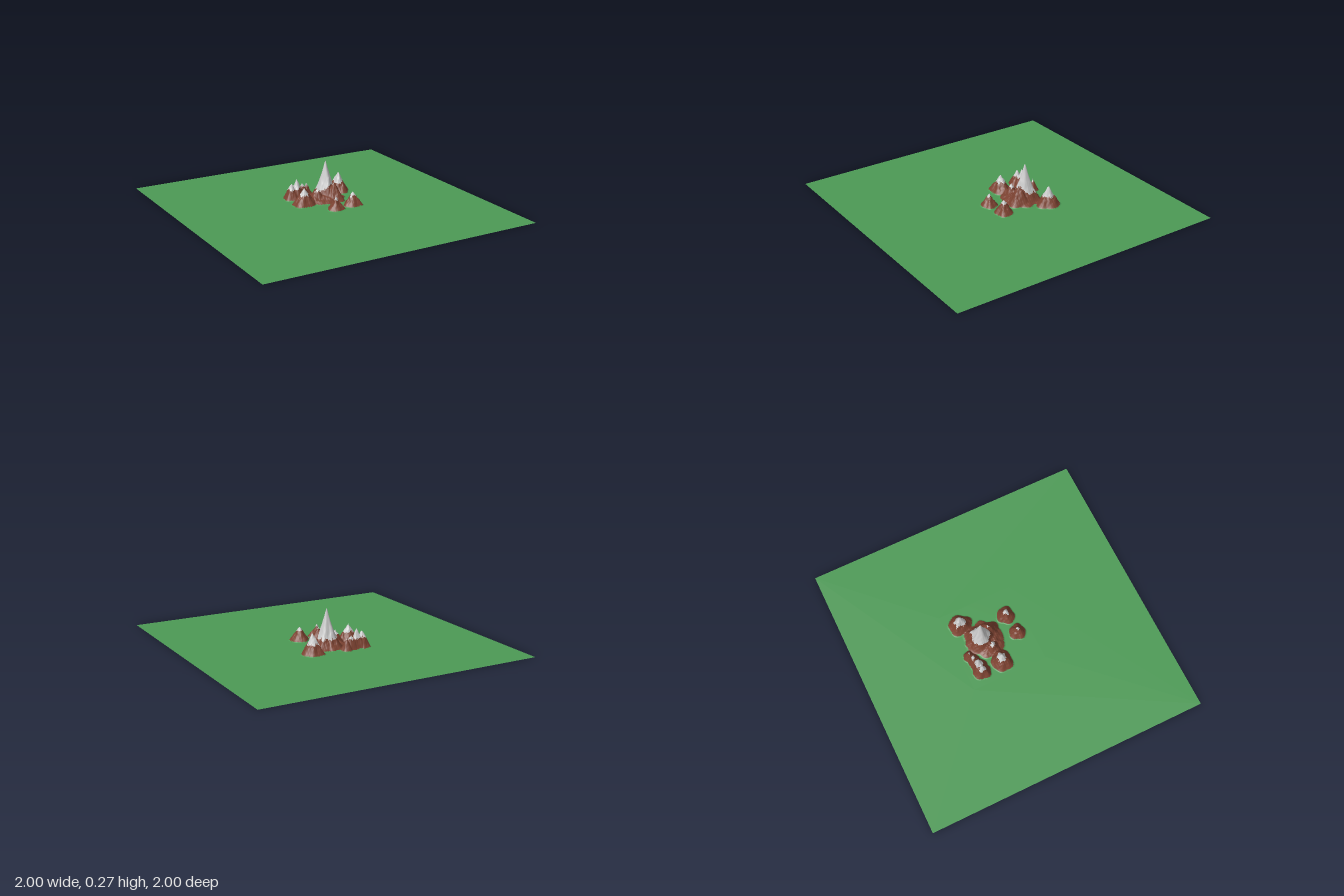
import * as THREE from 'three';

// Peaks: x, z, height, base radius x, base radius z, steepness
const PEAKS = [
  [0.073, -0.14, 0.28, 0.125, 0.13, 1.9],   // main summit
  [0.10, -0.075, 0.135, 0.08, 0.085, 1.1],  // front shoulder
  [0.05, -0.10, 0.06, 0.14, 0.11, 0.8],     // massif foot
  [0.07, -0.21, 0.06, 0.05, 0.05, 1.1],     // rear spur
  [-0.02, -0.095, 0.1, 0.065, 0.07, 1.2],   // west knob
  [-0.13, -0.08, 0.12, 0.09, 0.075, 1.1],   // west hill
  [-0.145, -0.235, 0.115, 0.06, 0.065, 1.1],// north-west ridge
  [-0.10, -0.24, 0.13, 0.07, 0.058, 1.1],
  [-0.05, -0.255, 0.095, 0.06, 0.045, 1.1],
  [-0.01, -0.27, 0.085, 0.045, 0.04, 1.1],
  [0.228, -0.228, 0.142, 0.078, 0.088, 1.2],// east peak
  [0.01, 0.11, 0.082, 0.062, 0.06, 1.05],   // two southern hills
  [0.155, 0.09, 0.098, 0.07, 0.065, 1.1],
];

// Repeatable roughness in -1..1
const rough = (x, z) =>
  (Math.sin(x * 97 + 2 * Math.sin(z * 61)) + Math.sin(z * 113 + 2 * Math.sin(x * 83)) +
   Math.sin((x + z) * 211) * Math.sin((x - z) * 187)) / 3;

function heightAt(x, z) {
  let y = 0;
  for (const [px, pz, h, rx, rz, p] of PEAKS) {
    const dx = (x - px) / rx, dz = (z - pz) / rz;
    const a = Math.atan2(dz, dx);
    const wobble = 1 + 0.06 * Math.sin(3 * a + px * 40) + 0.05 * Math.sin(5 * a + pz * 50);
    const t = Math.hypot(dx, dz) / wobble;
    if (t < 1) y = Math.max(y, h * Math.pow(1 - t, p));
  }
  // roughness fades out on the plain and near the sharp summit
  return Math.max(0, y + rough(x, z) * 0.012 * Math.min(1, y / 0.05) * (y > 0.15 ? 0.4 : 1));
}

export function createModel() {
  const model = new THREE.Group();
  const material = color => new THREE.MeshStandardMaterial({ color, side: THREE.DoubleSide });
  const grass = material(0x4c9a55), rock = material(0x7c4231), snow = material(0xbdbdbd);
  const X0 = -0.24, X1 = 0.34, Z0 = -0.34, Z1 = 0.2, STEP = 0.005;

  // Flat plain with an opening for the detailed mountain patch
  const plain = new THREE.Shape([[-1, -1], [1, -1], [1, 1], [-1, 1]].map(p => new THREE.Vector2(...p)));
  plain.holes.push(new THREE.Path([[X0, -Z1], [X0, -Z0], [X1, -Z0], [X1, -Z1]].map(p => new THREE.Vector2(...p))));
  const plainMesh = new THREE.Mesh(new THREE.ShapeGeometry(plain).rotateX(-Math.PI / 2), grass);
  plainMesh.name = 'plain';
  model.add(plainMesh);

  // Raised terrain patch
  const patch = new THREE.PlaneGeometry(X1 - X0, Z1 - Z0, Math.round((X1 - X0) / STEP), Math.round((Z1 - Z0) / STEP));
  patch.rotateX(-Math.PI / 2).translate((X0 + X1) / 2, 0, (Z0 + Z1) / 2);
  const pos = patch.attributes.position;
  for (let i = 0; i < pos.count; i++) pos.setY(i, heightAt(pos.getX(i), pos.getZ(i)));
  patch.computeVertexNormals();

  // Sort the triangles into grass, rock and snow by height
  const bands = { grassPatch: [[], grass], rockSlopes: [[], rock], snowCaps: [[], snow] };
  const index = patch.index.array;
  for (let i = 0; i < index.length; i += 3) {
    const tri = [index[i], index[i + 1], index[i + 2]];
    const mean = f => (f(tri[0]) + f(tri[1]) + f(tri[2])) / 3;
    const x = mean(k => pos.getX(k)), y = mean(k => pos.getY(k)), z = mean(k => pos.getZ(k));
    // the front shoulder stays bare higher up
    const bare = 0.06 * Math.max(0, 1 - Math.hypot(x - 0.1, z + 0.07) / 0.07);
    const snowLine = 0.068 + bare + 0.012 * rough(z * 1.3, x * 1.3);
    const band = y < 0.004 ? 'grassPatch' : y < snowLine ? 'rockSlopes' : 'snowCaps';
    bands[band][0].push(...tri);
  }
  for (const [name, [tris, mat]] of Object.entries(bands)) {
    const geo = new THREE.BufferGeometry();
    geo.setAttribute('position', pos);
    geo.setAttribute('normal', patch.attributes.normal);
    geo.setIndex(tris);
    const mesh = new THREE.Mesh(geo, mat);
    mesh.name = name;
    model.add(mesh);
  }
  return model;
}
